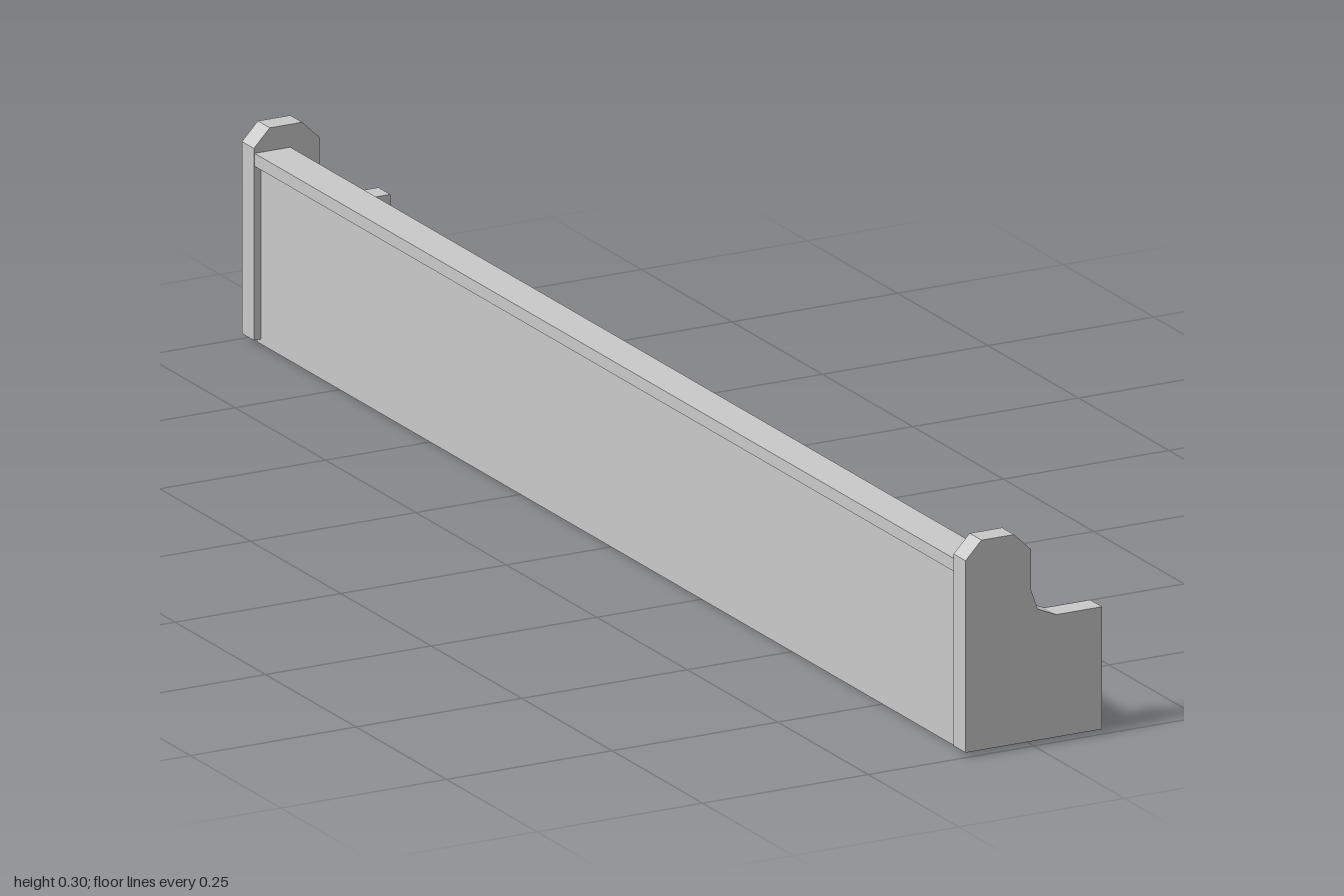
import * as THREE from 'three';

const material = new THREE.MeshStandardMaterial({ color: 0xcccccc, flatShading: true });

export function createModel() {
  const model = new THREE.Group();
  model.name = 'bench';

  const add = (name, geometry) => {
    const mesh = new THREE.Mesh(geometry, material);
    mesh.name = name;
    model.add(mesh);
    return mesh;
  };

  // Long board running along z, given by its cross-section and half length
  const board = (name, x0, x1, y0, y1, half) => {
    const mesh = add(name, new THREE.BoxGeometry(x1 - x0, y1 - y0, half * 2));
    mesh.position.set((x0 + x1) / 2, (y0 + y1) / 2, 0);
  };

  board('base', -0.092, 0.039, 0, 0.088, 0.978);
  board('seat', -0.07, 0.087, 0.088, 0.105, 0.97);
  board('backrest', -0.092, -0.061, 0.08, 0.25, 0.97);
  board('topRail', -0.102, -0.048, 0.25, 0.268, 0.97);

  // End panels: tall chamfered back, curved step down to the armrest
  const profile = new THREE.Shape([
    [-0.103, 0.007], [0.103, 0.007], [0.103, 0.178], [0.034, 0.178],
    [0.006, 0.19], [-0.004, 0.218], [-0.004, 0.275], [-0.03, 0.3],
    [-0.079, 0.3], [-0.103, 0.275],
  ].map(([x, y]) => new THREE.Vector2(x, y)));
  const thickness = 0.033;
  const panel = new THREE.ExtrudeGeometry(profile, { depth: thickness, bevelEnabled: false });
  add('frontEndPanel', panel).position.z = 1 - thickness;
  add('backEndPanel', panel).position.z = -1;

  return model;
}
